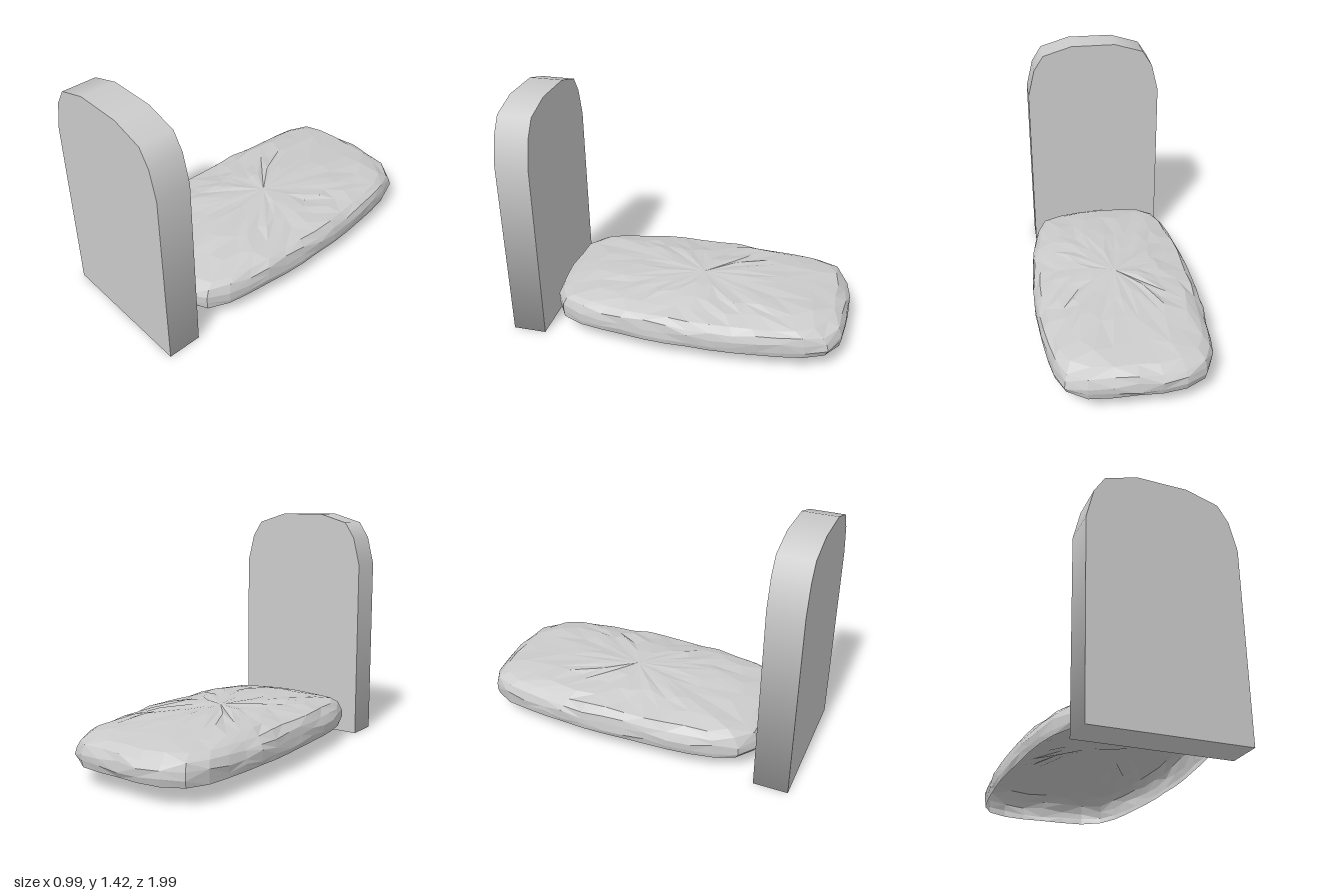
import * as THREE from 'three';

const grey = (opts = {}) => new THREE.MeshStandardMaterial({ color: 0xcccccc, ...opts });

// Seeded noise in -1..1
function makeNoise(seed) {
  return () => {
    seed = (seed * 16807) % 2147483647;
    return (seed / 2147483647) * 2 - 1;
  };
}

// Upright slab with a faceted arched top and a softly shaded rim
function makeHeadstone() {
  const half = [[0.425, 0], [0.425, 1.1], [0.383, 1.27], [0.322, 1.365], [0.14, 1.42]];
  const outline = [...half, ...half.map(([x, y]) => [-x, y]).reverse()];
  const shape = new THREE.Shape(outline.map(([x, y]) => new THREE.Vector2(x, y)));
  const geo = new THREE.ExtrudeGeometry(shape, { depth: 0.2, bevelEnabled: false });

  // Average the rim normals at each outline corner; the two faces stay flat
  const { position, normal } = geo.attributes;
  const rim = geo.groups[1];
  const sums = new Map();
  const key = (i) => `${position.getX(i).toFixed(3)},${position.getY(i).toFixed(3)}`;
  for (let i = rim.start; i < rim.start + rim.count; i++) {
    const sum = sums.get(key(i)) ?? new THREE.Vector3();
    sums.set(key(i), sum.add(new THREE.Vector3().fromBufferAttribute(normal, i)));
  }
  for (let i = rim.start; i < rim.start + rim.count; i++) {
    const n = sums.get(key(i)).clone().normalize();
    normal.setXYZ(i, n.x, n.y, n.z);
  }
  geo.clearGroups();

  const mesh = new THREE.Mesh(geo, grey());
  mesh.name = 'headstone';
  mesh.position.z = 0.8;
  return mesh;
}

// Low rough mound, open underneath, built from shrinking rings of one plan outline
function makeMound() {
  const noise = makeNoise(4127);
  const centreZ = -0.1;
  const plan = [
    [0, -0.995], [0.22, -0.985], [0.34, -0.95], [0.41, -0.87], [0.46, -0.65], [0.49, -0.38],
    [0.497, -0.1], [0.487, 0.2], [0.455, 0.46], [0.4, 0.67], [0.3, 0.755], [0.1, 0.79],
    [-0.12, 0.785], [-0.34, 0.75], [-0.42, 0.62], [-0.47, 0.4], [-0.49, 0.1], [-0.497, -0.25],
    [-0.475, -0.6], [-0.42, -0.87], [-0.34, -0.95], [-0.2, -0.99],
  ];
  const curve = new THREE.CatmullRomCurve3(
    plan.map(([x, z]) => new THREE.Vector3(x, 0, z - centreZ)), true);
  const sides = 36;
  const base = curve.getSpacedPoints(sides).slice(0, sides);

  // Each ring: scale, height, sideways roughness, height roughness
  const rings = [
    [0.975, 0.105, 0.008, 0], [0.99, 0.14, 0.01, 0.01], [0.99, 0.185, 0.01, 0.012],
    [0.965, 0.225, 0.012, 0.01], [0.9, 0.258, 0.015, 0.007], [0.74, 0.282, 0.05, 0.006],
    [0.52, 0.3, 0.06, 0.007], [0.27, 0.312, 0.04, 0.007],
  ];
  const verts = [], index = [];
  for (const [scale, y, rough, bump] of rings) {
    for (const p of base) {
      const s = scale + noise() * rough;
      verts.push(p.x * s, y + noise() * bump, p.z * s + centreZ);
    }
  }
  const top = rings.length * sides;
  verts.push(0, 0.316, centreZ);

  for (let i = 0; i < rings.length; i++) {
    for (let j = 0; j < sides; j++) {
      const k = (j + 1) % sides;
      const a = i * sides + j, b = i * sides + k;
      if (i === rings.length - 1) {
        index.push(a, top, b);
        continue;
      }
      const c = a + sides, d = b + sides;
      // Mixed diagonals keep the facets irregular
      if (noise() > 0) index.push(a, c, b, b, c, d);
      else index.push(a, c, d, a, d, b);
    }
  }

  const indexed = new THREE.BufferGeometry();
  indexed.setAttribute('position', new THREE.Float32BufferAttribute(verts, 3));
  indexed.setIndex(index);
  const geo = indexed.toNonIndexed();
  geo.computeVertexNormals();
  const mesh = new THREE.Mesh(geo, grey({ flatShading: true, side: THREE.DoubleSide }));
  mesh.name = 'earthMound';
  return mesh;
}

export function createModel() {
  const model = new THREE.Group();
  model.name = 'grave';
  model.add(makeHeadstone(), makeMound());
  return model;
}
